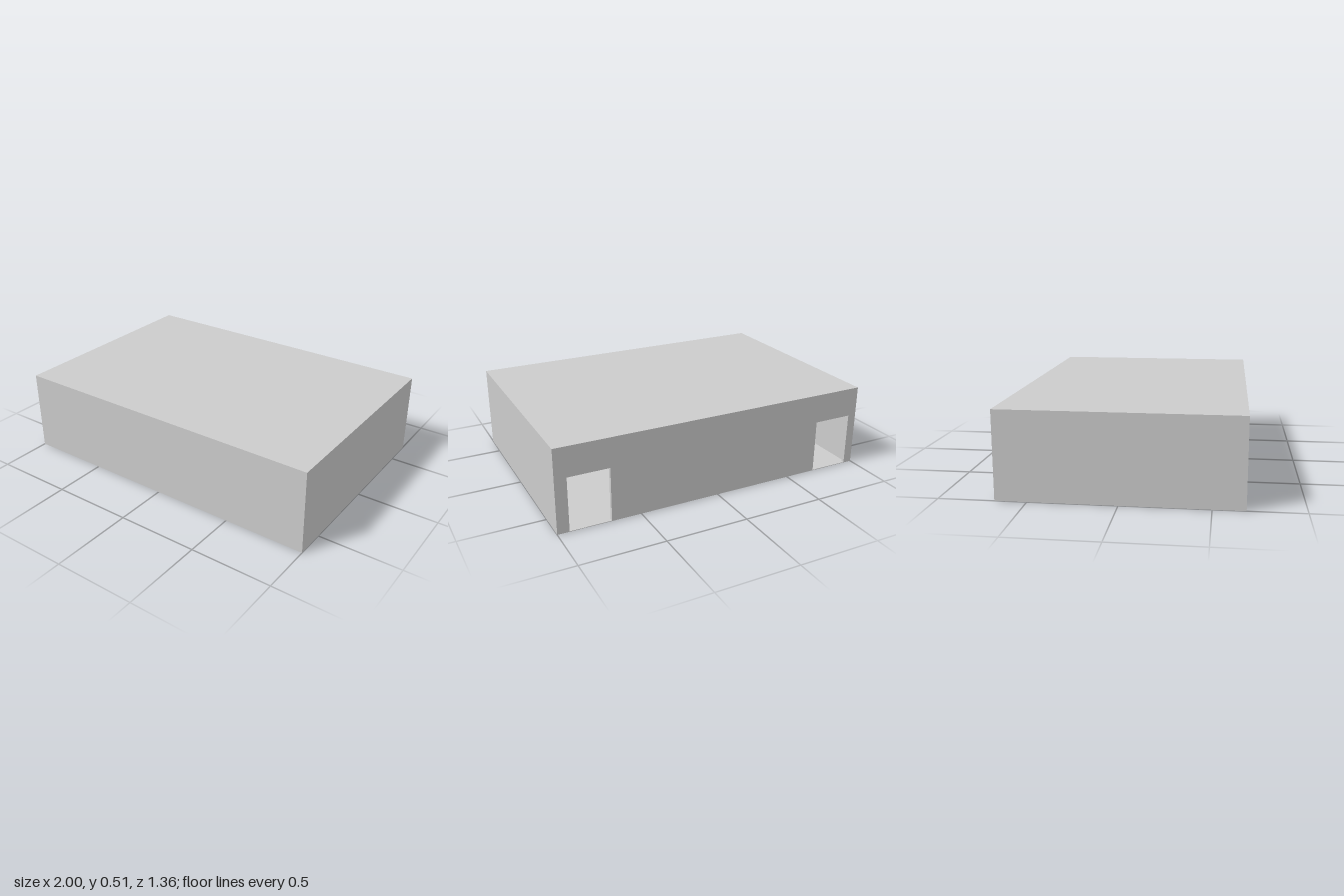
import * as THREE from 'three';

const W = 2, H = 0.51, D = 1.36;
const SIDE = 0.04, BACK = 0.022, ROOF = 0.05, FLOOR = 0.003;
const DOOR_TOP = 0.33;
// door openings in the back wall as [x min, x max]
const DOORS = [[-0.946, -0.698], [0.68, 0.929]];

export function createModel() {
  const group = new THREE.Group();
  const material = new THREE.MeshStandardMaterial({ color: 0xcccccc, flatShading: true });

  const add = (name, geometry, x, y, z) => {
    const mesh = new THREE.Mesh(geometry, material);
    mesh.name = name;
    mesh.position.set(x, y, z);
    group.add(mesh);
  };

  const wallH = H - ROOF;
  const innerW = W - 2 * SIDE;

  // floor and roof slabs
  add('floor', new THREE.BoxGeometry(W, FLOOR, D), 0, FLOOR / 2, 0);
  add('roof', new THREE.BoxGeometry(W, ROOF, D), 0, H - ROOF / 2, 0);

  // side walls and closed front wall
  for (const [name, s] of [['leftWall', 1], ['rightWall', -1]]) {
    add(name, new THREE.BoxGeometry(SIDE, wallH, D - BACK), s * (W - SIDE) / 2, wallH / 2, BACK / 2);
  }
  add('frontWall', new THREE.BoxGeometry(innerW, wallH, SIDE), 0, wallH / 2, (D - SIDE) / 2);

  // back wall outline, notched from the ground up for each doorway
  const outline = new THREE.Shape();
  outline.moveTo(-W / 2, 0);
  for (const [a, b] of DOORS) {
    outline.lineTo(a, 0);
    outline.lineTo(a, DOOR_TOP);
    outline.lineTo(b, DOOR_TOP);
    outline.lineTo(b, 0);
  }
  outline.lineTo(W / 2, 0);
  outline.lineTo(W / 2, wallH);
  outline.lineTo(-W / 2, wallH);
  outline.closePath();
  add('backWall', new THREE.ExtrudeGeometry(outline, { depth: BACK, bevelEnabled: false }), 0, 0, -D / 2);

  return group;
}
